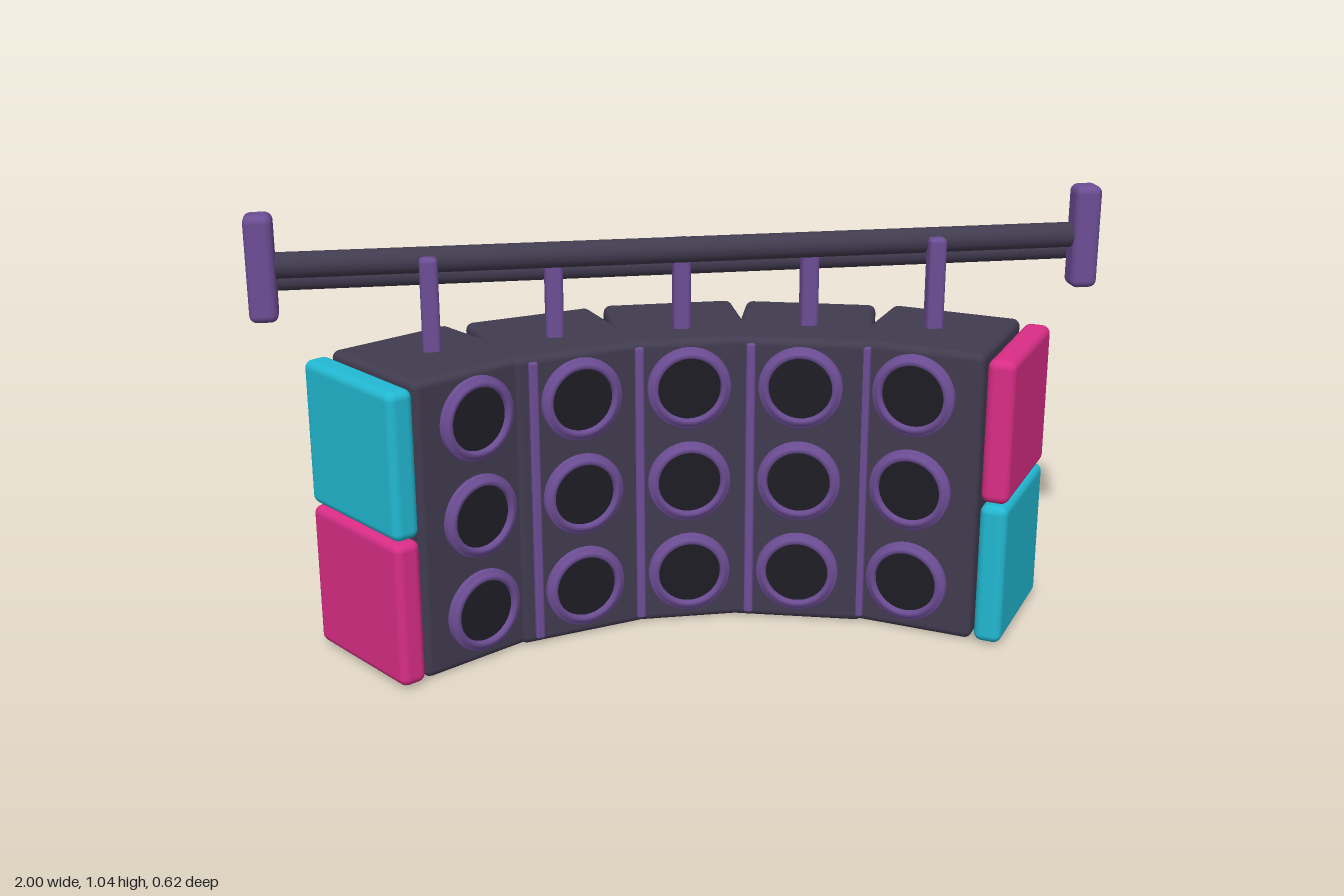
import * as THREE from 'three';
import { RoundedBoxGeometry } from 'three/addons/geometries/RoundedBoxGeometry.js';

const mat = (name, color, side = THREE.FrontSide) => {
  const m = new THREE.MeshStandardMaterial({ color, side });
  m.name = name;
  return m;
};

export function createModel() {
  const body = mat('charcoal', 0x413b4f);
  const trim = mat('purple', 0x6c4d94);
  const cone = mat('black', 0x1e1d25);
  const cyan = mat('cyan', 0x22b8d2);
  const pink = mat('magenta', 0xd92d86);

  const model = new THREE.Group();
  model.name = 'speakerArray';
  const add = (parent, name, geometry, material, x, y, z) => {
    const mesh = new THREE.Mesh(geometry, material);
    mesh.name = name;
    mesh.position.set(x, y, z);
    parent.add(mesh);
    return mesh;
  };

  // Shared parts
  const W = 0.325, H = 0.715, D = 0.34;
  const cabinetGeo = new RoundedBoxGeometry(W, H, D, 3, 0.018);
  const stripGeo = new RoundedBoxGeometry(0.022, 0.69, 0.02, 2, 0.006);
  const ringProfile = [[0.075, 0], [0.075, 0.014], [0.078, 0.02], [0.087, 0.02],
    [0.09, 0.013], [0.097, 0.012], [0.1, 0.008], [0.1, -0.005]];
  const ringGeo = new THREE.LatheGeometry(
    ringProfile.map(([r, y]) => new THREE.Vector2(r, y)).reverse(), 40);
  ringGeo.rotateX(Math.PI / 2);
  // Lathe profile runs from the outside in, so show both faces of the thin rim
  const ringMat = trim;
  ringMat.side = THREE.DoubleSide;
  const coneGeo = new THREE.CylinderGeometry(0.077, 0.077, 0.012, 36).rotateX(Math.PI / 2);
  const hangerGeo = new RoundedBoxGeometry(0.042, 0.235, 0.042, 3, 0.01);

  // Five cabinets on an arc: x, z, turn in degrees, hanger z
  const layout = [
    [-0.6, 0.03, 33, 0.012], [-0.308, -0.09, 16.5, -0.06], [0, -0.14, 0, -0.083],
    [0.308, -0.09, -16.5, -0.06], [0.6, 0.03, -33, 0.012],
  ];
  layout.forEach(([x, z, turn, hangerZ], i) => {
    const cabinet = new THREE.Group();
    cabinet.name = `cabinet${i + 1}`;
    cabinet.position.set(x, 0, z);
    cabinet.rotation.y = THREE.MathUtils.degToRad(turn);
    add(cabinet, 'cabinetBody', cabinetGeo, body, 0, H / 2 + 0.002, 0);
    for (const y of [0.13, 0.365, 0.6]) {
      add(cabinet, 'driverRing', ringGeo, ringMat, 0, y, D / 2);
      add(cabinet, 'driverCone', coneGeo, cone, 0, y, D / 2);
    }
    if (i > 0) add(cabinet, 'trimStrip', stripGeo, trim, -0.118, 0.36, D / 2);
    model.add(cabinet);
    add(model, 'hanger', hangerGeo, trim, x * 0.993, 0.818, hangerZ);
  });

  // Coloured side panels, swapped from side to side
  const panelGeo = new RoundedBoxGeometry(0.066, 0.348, 0.352, 3, 0.02);
  for (const s of [-1, 1]) {
    [s > 0 ? cyan : pink, s > 0 ? pink : cyan].forEach((m, row) => {
      const panel = add(model, 'sidePanel', panelGeo, m, s * 0.767, 0.183 + row * 0.354, 0.15);
      panel.rotation.y = -s * THREE.MathUtils.degToRad(33);
    });
  }

  // Rails and their end caps
  const rail = (name, r, length, y, z) =>
    add(model, name, new THREE.CylinderGeometry(r, r, length, 24).rotateZ(Math.PI / 2), body, 0, y, z);
  rail('frontRail', 0.03, 1.92, 0.922, -0.02);
  rail('rearRail', 0.025, 1.93, 0.866, -0.108);
  const capGeo = new RoundedBoxGeometry(0.065, 0.248, 0.067, 4, 0.018);
  for (const s of [-1, 1]) add(model, 'railEndCap', capGeo, trim, s * 0.9675, 0.92, -0.014);

  return model;
}
